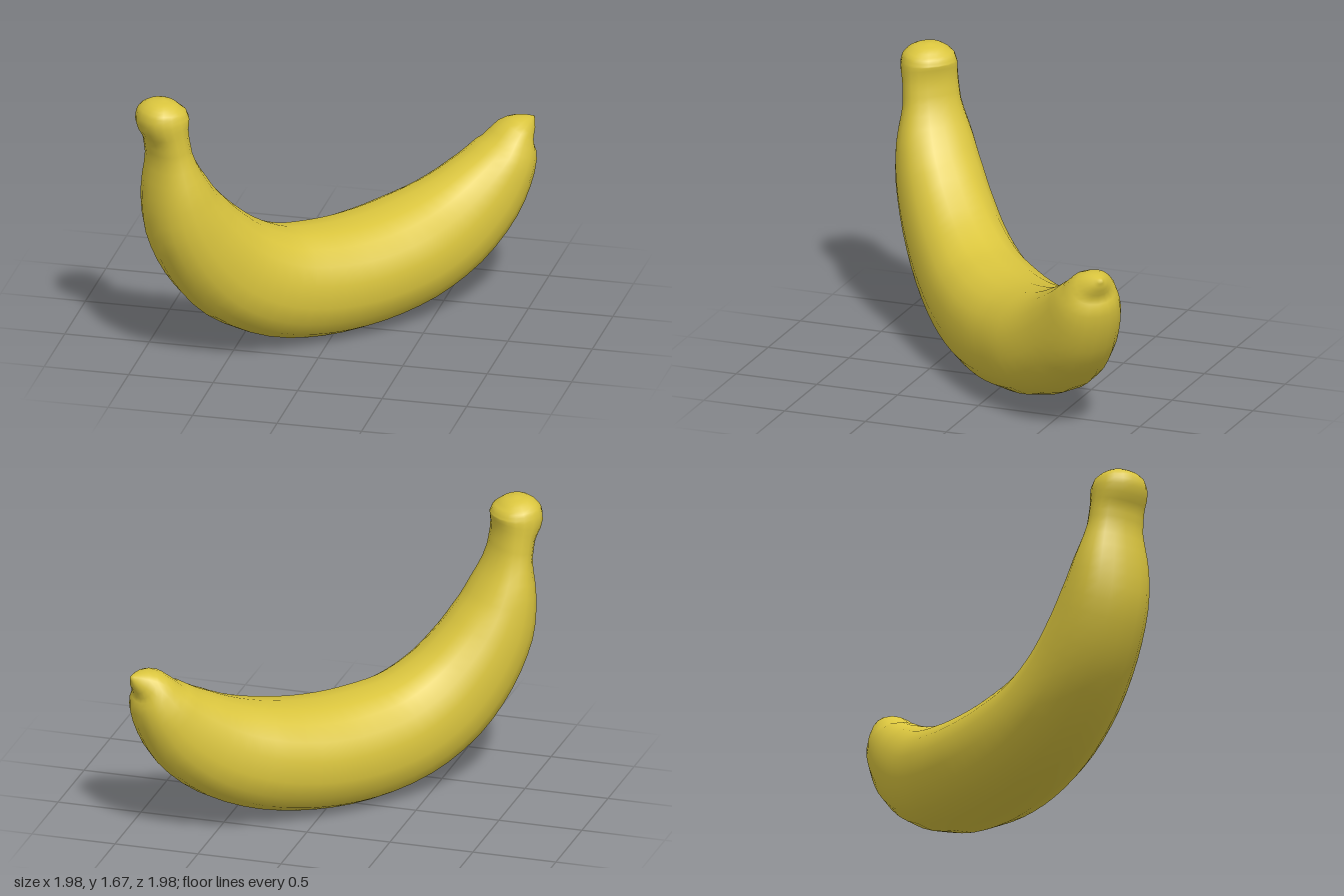
import * as THREE from 'three';

// Cross-sections from stem to tip:
// distance along the fruit's plane, height, in-plane radius, sideways radius
const SECTIONS = [
  [-1.18, 1.672, 0, 0],
  [-1.182, 1.655, 0.075, 0.085],
  [-1.187, 1.61, 0.132, 0.148],
  [-1.188, 1.55, 0.147, 0.166],
  [-1.165, 1.44, 0.115, 0.168],
  [-1.145, 1.33, 0.115, 0.175],
  [-1.105, 1.12, 0.178, 0.228],
  [-1.035, 0.915, 0.242, 0.255],
  [-0.9, 0.705, 0.285, 0.272],
  [-0.705, 0.515, 0.315, 0.288],
  [-0.447, 0.383, 0.325, 0.312],
  [-0.15, 0.33, 0.33, 0.338],
  [0.15, 0.332, 0.325, 0.35],
  [0.46, 0.385, 0.318, 0.335],
  [0.74, 0.487, 0.298, 0.285],
  [0.97, 0.645, 0.255, 0.238],
  [1.12, 0.815, 0.185, 0.198],
  [1.195, 0.94, 0.115, 0.14],
  [1.275, 0.995, 0.052, 0.06],
  [1.318, 1.02, 0, 0],
];
const SIDES = 18;
const RINGS = (SECTIONS.length - 1) * 3;

// The fruit curves in a vertical plane turned 45 degrees
const along = new THREE.Vector3(1, 0, -1).normalize();
const across = new THREE.Vector3(1, 0, 1).normalize();

// Slightly squared ellipse
const soft = (v) => Math.sign(v) * Math.pow(Math.abs(v), 2 / 2.2);

function loftBanana() {
  const spine = new THREE.CatmullRomCurve3(
    SECTIONS.map(([u, y]) => along.clone().multiplyScalar(u).setY(y)));
  const radii = new THREE.CatmullRomCurve3(
    SECTIONS.map(([, , a, b]) => new THREE.Vector3(a, b, 0)));
  const positions = [];
  const index = [];

  // One pole, the rings between, then the other pole
  positions.push(...spine.getPoint(0).toArray());
  for (let i = 1; i < RINGS; i++) {
    const t = i / RINGS;
    const centre = spine.getPoint(t);
    const normal = across.clone().cross(spine.getTangent(t)).normalize();
    const r = radii.getPoint(t);
    for (let j = 0; j < SIDES; j++) {
      const angle = (j / SIDES) * Math.PI * 2;
      const p = centre.clone()
        .addScaledVector(normal, r.x * soft(Math.cos(angle)))
        .addScaledVector(across, r.y * soft(Math.sin(angle)));
      positions.push(p.x, Math.max(p.y, 0), p.z);
    }
  }
  positions.push(...spine.getPoint(1).toArray());

  const last = positions.length / 3 - 1;
  const at = (ring, j) => 1 + ring * SIDES + (j % SIDES);
  for (let j = 0; j < SIDES; j++) {
    index.push(0, at(0, j + 1), at(0, j));
    for (let i = 0; i < RINGS - 2; i++) {
      index.push(at(i, j), at(i, j + 1), at(i + 1, j + 1));
      index.push(at(i, j), at(i + 1, j + 1), at(i + 1, j));
    }
    index.push(at(RINGS - 2, j), at(RINGS - 2, j + 1), last);
  }

  const geometry = new THREE.BufferGeometry();
  geometry.setAttribute('position', new THREE.Float32BufferAttribute(positions, 3));
  geometry.setIndex(index);
  geometry.computeVertexNormals();
  return geometry;
}

export function createModel() {
  const group = new THREE.Group();
  group.name = 'banana';
  const peelYellow = new THREE.MeshStandardMaterial({ color: 0xdac53e });
  peelYellow.name = 'peelYellow';
  const peel = new THREE.Mesh(loftBanana(), peelYellow);
  peel.name = 'peel';
  group.add(peel);
  return group;
}
